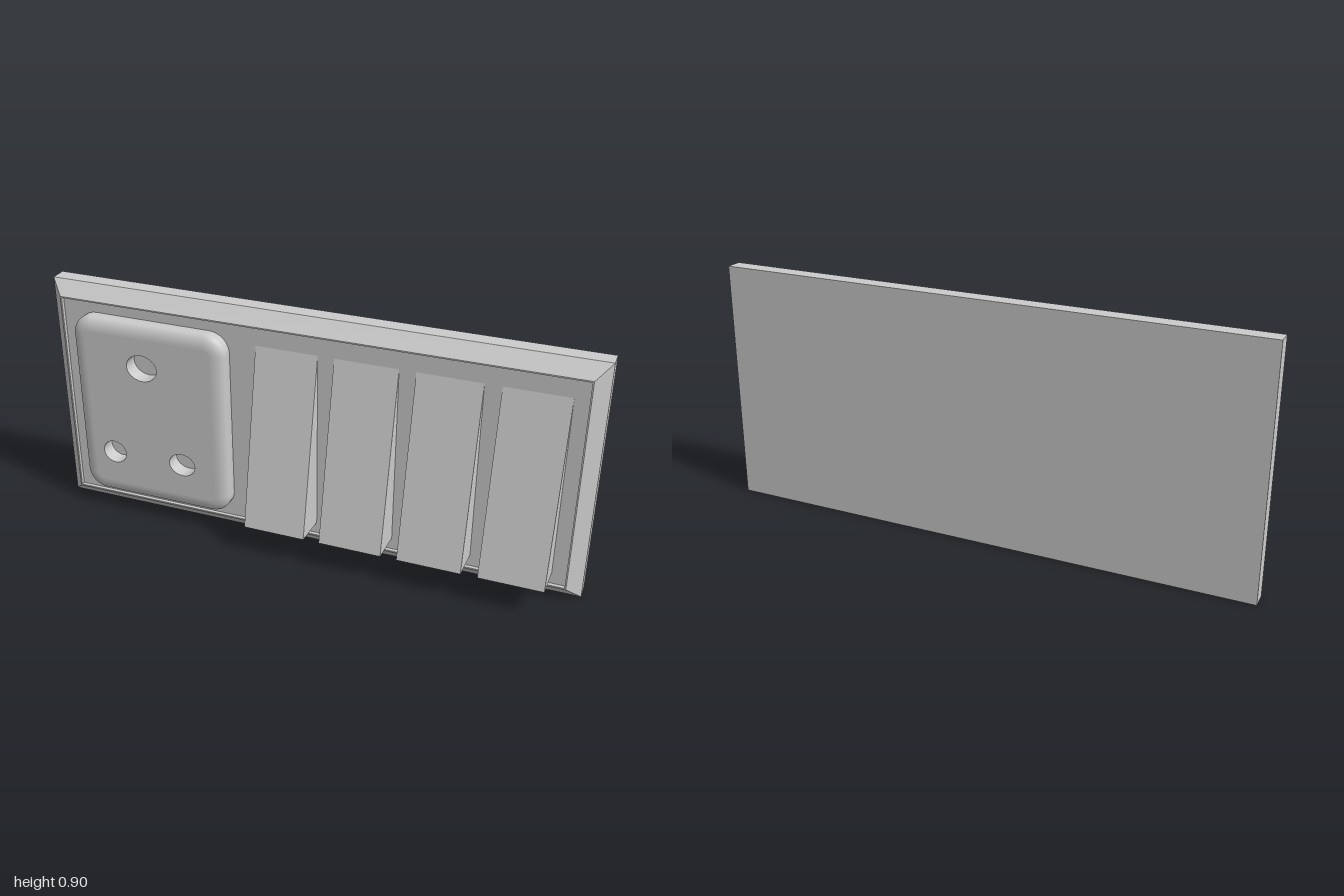
import * as THREE from 'three';

const HEIGHT = 0.897;
const PANEL_Z = -0.021; // floor of the shallow recess

const grey = (options = {}) => new THREE.MeshStandardMaterial({ color: 0xcccccc, ...options });

function addMesh(parent, name, geometry, material) {
  const mesh = new THREE.Mesh(geometry, material);
  mesh.name = name;
  parent.add(mesh);
  return mesh;
}

// Skin a stack of equal, anticlockwise rings running from back to front
function loft(rings, capped) {
  const n = rings[0].length;
  const index = [];
  for (let i = 0; i < rings.length - 1; i++) {
    for (let j = 0; j < n; j++) {
      const k = (j + 1) % n;
      const a = i * n + j, b = i * n + k, c = a + n, d = b + n;
      index.push(a, b, d, a, d, c);
    }
  }
  if (capped) {
    const last = (rings.length - 1) * n;
    for (let j = 1; j < n - 1; j++) {
      index.push(0, j + 1, j, last, last + j, last + j + 1);
    }
  }
  const geometry = new THREE.BufferGeometry();
  geometry.setAttribute('position', new THREE.Float32BufferAttribute(rings.flat(2), 3));
  geometry.setIndex(index);
  geometry.computeVertexNormals();
  return geometry;
}

// Rounded rectangle as [x, y, z] points
function roundedRing(cx, cy, halfW, halfH, radius, z, steps = 8) {
  const points = [];
  for (let q = 0; q < 4; q++) {
    const sx = q === 0 || q === 3 ? 1 : -1;
    const sy = q < 2 ? 1 : -1;
    for (let s = 0; s <= steps; s++) {
      const angle = (q + s / steps) * Math.PI / 2;
      points.push([
        cx + sx * (halfW - radius) + radius * Math.cos(angle),
        cy + sy * (halfH - radius) + radius * Math.sin(angle),
        z,
      ]);
    }
  }
  return points;
}

// Chamfered wall plate with a recessed centre
function createPlate() {
  const profile = [[0, -0.115], [0, -0.055], [0.05, -0.007], [0.055, -0.007], [0.055, PANEL_Z]];
  const rings = profile.map(([inset, z]) => {
    const x = 1 - inset, low = inset, high = HEIGHT - inset;
    return [[-x, low, z], [x, low, z], [x, high, z], [-x, high, z]];
  });
  return loft(rings, true);
}

// Soft-edged socket with three round pin holes
function createSocket() {
  const socket = new THREE.Group();
  socket.name = 'socket';
  const cx = -0.592, cy = 0.442, halfW = 0.298, halfH = 0.358;
  const front = 0.037, bevel = 0.05, bevelDepth = 0.03, corner = 0.075;

  const rings = [roundedRing(cx, cy, halfW, halfH, corner, PANEL_Z)];
  for (let i = 0; i <= 8; i++) {
    const angle = i / 8 * Math.PI / 2;
    const inset = bevel * (1 - Math.cos(angle));
    const z = front - bevelDepth * (1 - Math.sin(angle));
    rings.push(roundedRing(cx, cy, halfW - inset, halfH - inset, corner - inset, z));
  }
  addMesh(socket, 'socketRim', loft(rings, false), grey());

  const outline = rings[rings.length - 1].map(([x, y]) => new THREE.Vector2(x, y));
  const face = new THREE.Shape(outline);
  const holes = [[-0.615, 0.636, 0.06, 0.051], [-0.754, 0.266, 0.047, 0.045], [-0.475, 0.266, 0.052, 0.045]];
  for (const [x, y, rx, ry] of holes) {
    const path = new THREE.Path();
    path.absellipse(x, y, rx, ry, 0, Math.PI * 2, true);
    face.holes.push(path);

    const depth = front - PANEL_Z;
    const wall = new THREE.CylinderGeometry(1, 1, depth, 24, 1, true);
    wall.rotateX(Math.PI / 2).scale(rx, ry, 1).translate(x, y, PANEL_Z + depth / 2);
    addMesh(socket, 'pinHole', wall, grey({ side: THREE.DoubleSide }));
  }
  const faceGeometry = new THREE.ShapeGeometry(face, 12).translate(0, 0, front);
  addMesh(socket, 'socketFace', faceGeometry, grey());
  return socket;
}

// Wedge-shaped rocker, drawn as a z-y profile and extruded across x
function createRocker(width) {
  const profile = new THREE.Shape([
    new THREE.Vector2(PANEL_Z - 0.01, 0.098),
    new THREE.Vector2(0.117, 0.111),
    new THREE.Vector2(PANEL_Z, 0.772),
    new THREE.Vector2(PANEL_Z - 0.01, 0.772),
  ]);
  const geometry = new THREE.ExtrudeGeometry(profile, { depth: width, bevelEnabled: false });
  return geometry.rotateY(-Math.PI / 2).translate(width / 2, 0, 0);
}

export function createModel() {
  const model = new THREE.Group();
  model.name = 'switchedSocketPanel';
  addMesh(model, 'wallPlate', createPlate(), grey({ flatShading: true }));
  model.add(createSocket());

  // Row of four identical switches
  const rocker = createRocker(0.228);
  for (let i = 0; i < 4; i++) {
    addMesh(model, 'rockerSwitch', rocker, grey({ flatShading: true })).position.x = -0.08 + i * 0.2867;
  }
  return model;
}
